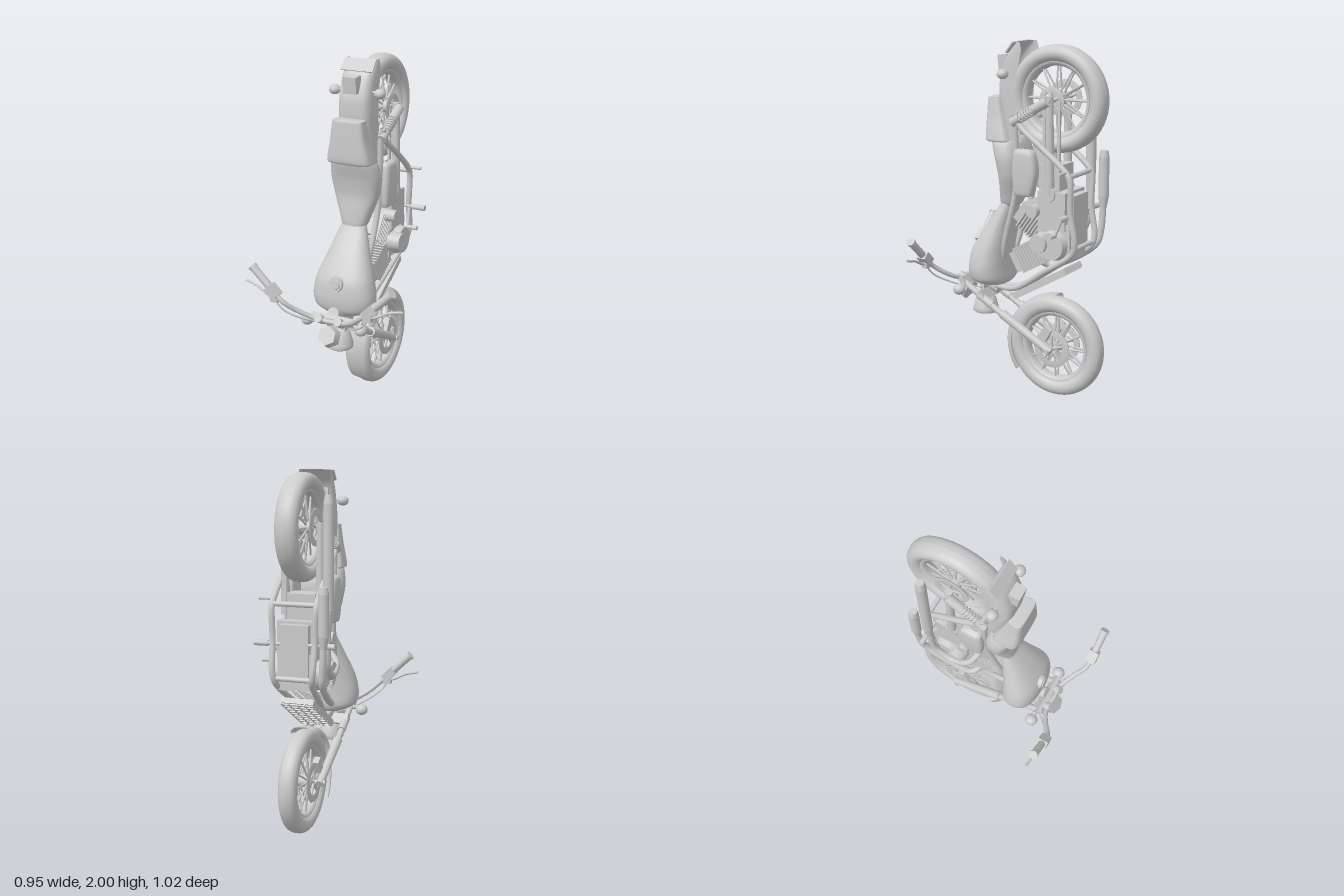
import * as THREE from 'three';

const V = (p) => new THREE.Vector3(...p);
const flip = ([x, y, z]) => [-x, y, z];

export function createModel() {
  const root = new THREE.Group();
  root.name = 'motorcycle';
  const mat = new THREE.MeshStandardMaterial({ color: 0xcccccc, side: THREE.DoubleSide });

  const add = (name, geo, pos = [0, 0, 0], rot = [0, 0, 0], parent = root) => {
    const m = new THREE.Mesh(geo, mat);
    m.name = name;
    m.position.set(...pos);
    m.rotation.set(...rot);
    parent.add(m);
    return m;
  };
  const box = (name, size, pos, tilt = 0, parent = root) =>
    add(name, new THREE.BoxGeometry(...size), pos, [tilt, 0, 0], parent);
  // straight round bar between two points
  const rod = (name, a, b, r, r2 = r, parent = root, sides = 14) => {
    const d = V(b).sub(V(a));
    const m = add(name, new THREE.CylinderGeometry(r2, r, d.length(), sides), [0, 0, 0], [0, 0, 0], parent);
    m.position.copy(V(a).addScaledVector(d, 0.5));
    m.quaternion.setFromUnitVectors(new THREE.Vector3(0, 1, 0), d.normalize());
    return m;
  };
  const tube = (name, pts, r) => add(name,
    new THREE.TubeGeometry(new THREE.CatmullRomCurve3(pts.map(V), false, 'centripetal'), pts.length * 9, r, 10));
  const rods2 = (name, a, b, r, r2) => { rod(name, a, b, r, r2); rod(name, flip(a), flip(b), r, r2); };
  const tubes2 = (name, pts, r) => { tube(name, pts, r); tube(name, pts.map(flip), r); };

  // smooth body through sections [y, halfWidth, zLow, zHigh]; arch = open underneath
  const loft = (name, secs, pow = 2.5, arch = false) => {
    const ca = new THREE.CatmullRomCurve3(secs.map((s) => new THREE.Vector3(s[0], s[1], 0)), false, 'catmullrom', 0.4);
    const cb = new THREE.CatmullRomCurve3(secs.map((s) => new THREE.Vector3(s[2], s[3], 0)), false, 'catmullrom', 0.4);
    const n = 36, rows = (secs.length - 1) * 5, pos = [], idx = [];
    const se = (v) => Math.sign(v) * Math.abs(v) ** (2 / pow);
    for (let j = 0; j <= rows; j++) {
      const a = ca.getPoint(j / rows), b = cb.getPoint(j / rows);
      for (let i = 0; i <= n; i++) {
        const t = (i / n) * Math.PI * (arch ? 1 : 2), s = se(Math.sin(t));
        pos.push(a.y * se(Math.cos(t)), a.x, arch ? b.x + (b.y - b.x) * s : (b.x + b.y) / 2 + ((b.y - b.x) / 2) * s);
        if (j < rows && i < n) {
          const k = j * (n + 1) + i, u = k + n + 1;
          idx.push(k, u, k + 1, k + 1, u, u + 1);
        }
      }
    }
    const g = new THREE.BufferGeometry();
    g.setAttribute('position', new THREE.Float32BufferAttribute(pos, 3));
    g.setIndex(idx);
    g.computeVertexNormals();
    return add(name, g);
  };

  // wheels: axle along x
  const lathe = (pts) => new THREE.LatheGeometry(pts.map((p) => new THREE.Vector2(...p)), 56);
  const AX = [0, 0, Math.PI / 2];
  const wheel = (name, y, half, discs) => {
    const g = new THREE.Group();
    g.name = name;
    g.position.set(0, y, -0.222);
    root.add(g);
    const tyre = [];
    for (let i = 0; i <= 20; i++) {
      const a = (i / 20) * Math.PI * 2, c = Math.cos(a), s = Math.sin(a);
      tyre.push([0.245 + 0.046 * c, half * Math.sign(s) * Math.abs(s) ** 0.8]);
    }
    add('tyre', lathe(tyre), [0, 0, 0], AX, g);
    const h = half * 0.65;
    add('rim', lathe([[0.205, -h], [0.19, -h], [0.18, -h * 0.5], [0.18, h * 0.5], [0.19, h], [0.205, h]]), [0, 0, 0], AX, g);
    add('hub', new THREE.CylinderGeometry(0.035, 0.035, 0.11, 20), [0, 0, 0], AX, g);
    for (let i = 0; i < 12; i++) {
      const a = (i / 12) * Math.PI * 2, c = Math.cos(a), s = Math.sin(a);
      for (const x of [-0.03, 0.03]) rod('spoke', [x, 0.03 * c, 0.03 * s], [x * 0.4, 0.185 * c, 0.185 * s], 0.006, 0.006, g, 6);
    }
    for (const [x, r, r0] of discs) {
      add('disc', lathe([[r0, -0.004], [r, -0.004], [r, 0.004], [r0, 0.004], [r0, -0.004]]), [x, 0, 0], AX, g);
      for (let i = 0; i < 5; i++) {
        const a = (i / 5) * Math.PI * 2;
        rod('discArm', [x, 0, 0], [x, r0 * Math.cos(a), r0 * Math.sin(a)], 0.008, 0.008, g, 6);
      }
    }
    rod('axle', [-0.13, 0, 0], [0.13, 0, 0], 0.014, 0.014, g);
  };
  wheel('frontWheel', 0.292, 0.053, [[0.062, 0.112, 0.075], [-0.062, 0.112, 0.075]]);
  wheel('rearWheel', 1.695, 0.063, [[0.078, 0.075, 0.045], [-0.075, 0.1, 0.065]]);

  // front fender: curved strip wrapped round the wheel
  const fender = new THREE.LatheGeometry(
    [[0.262, -0.074], [0.285, -0.07], [0.3, -0.05], [0.306, 0], [0.3, 0.05], [0.285, 0.07], [0.262, 0.074]].map((p) => new THREE.Vector2(...p)),
    36, Math.PI / 2 - 0.06 - Math.PI / 2, 2.2);
  // lathe sweep starts at +z; aim it from behind the wheel top to the nose
  fender.rotateZ(Math.PI / 2);
  add('frontFender', fender, [0, 0.292, -0.222], [0.57, 0, 0]);

  // bodywork
  loft('tank', [[0.605, 0.01, 0.17, 0.2], [0.613, 0.1, 0.11, 0.265], [0.65, 0.17, 0.09, 0.3], [0.72, 0.184, 0.09, 0.31],
    [0.82, 0.165, 0.085, 0.295], [0.95, 0.12, 0.07, 0.22], [1.07, 0.08, 0.05, 0.14], [1.1, 0.065, 0.05, 0.12], [1.105, 0.005, 0.08, 0.09]], 2.4);
  rod('fuelCap', [0, 0.805, 0.28], [0, 0.81, 0.312], 0.047, 0.04);
  rod('fuelCapTop', [0, 0.81, 0.31], [0, 0.811, 0.318], 0.03, 0.026);
  loft('seat', [[1.08, 0.01, 0.07, 0.08], [1.085, 0.065, 0.03, 0.125], [1.16, 0.095, 0, 0.125], [1.26, 0.13, -0.02, 0.118],
    [1.36, 0.145, -0.02, 0.135], [1.44, 0.13, 0, 0.16], [1.47, 0.1, 0.02, 0.16], [1.475, 0.01, 0.07, 0.08]], 2.7);
  loft('passengerPad', [[1.445, 0.01, 0.08, 0.09], [1.45, 0.122, 0.03, 0.172], [1.48, 0.128, 0.035, 0.188], [1.58, 0.106, 0.07, 0.189],
    [1.68, 0.09, 0.1, 0.186], [1.692, 0.082, 0.11, 0.178], [1.694, 0.005, 0.14, 0.15]], 4.5);
  loft('rearFender', [[1.46, 0.1, -0.05, 0.07], [1.6, 0.1, -0.015, 0.1], [1.7, 0.1, -0.005, 0.12], [1.8, 0.098, -0.012, 0.115],
    [1.9, 0.096, -0.03, 0.08], [1.95, 0.094, -0.04, 0.045], [1.995, 0.09, -0.03, 0.0]], 4, true);
  box('plate', [0.19, 0.075, 0.008], [0, 1.965, 0.035], -0.68);
  box('tailLight', [0.078, 0.09, 0.06], [0, 1.875, 0.11], 0.1);
  for (const s of [1, -1]) {
    // side covers and signals
    const cover = loft('sideCover', [[1.17, 0.004, -0.09, -0.06], [1.18, 0.03, -0.13, -0.02], [1.3, 0.04, -0.16, -0.01],
      [1.41, 0.035, -0.14, -0.02], [1.43, 0.004, -0.09, -0.05]], 3.5);
    cover.position.x = s * 0.12;
    rod('rearSignalStem', [s * 0.09, 1.83, 0.05], [s * 0.135, 1.83, 0.05], 0.008);
    const dome = () => new THREE.SphereGeometry(0.032, 20, 12);
    add('rearSignal', dome(), [s * 0.135, 1.825, 0.05]).scale.set(1, 0.85, 1);
    rod('frontSignalStem', [s * 0.09, 0.6, 0.33], [s * 0.16, 0.59, 0.33], 0.009);
    add('frontSignal', dome(), [s * 0.168, 0.58, 0.33]).scale.set(1.1, 1, 1.15);
  }

  // front fork, clamps and steering head
  rods2('forkTube', [0.1, 0.625, 0.37], [0.1, 0.42, 0.03], 0.018);
  rods2('forkShroud', [0.1, 0.545, 0.24], [0.1, 0.495, 0.15], 0.024);
  rods2('forkLeg', [0.1, 0.455, 0.08], [0.1, 0.285, -0.235], 0.027, 0.022);
  box('upperClamp', [0.25, 0.06, 0.03], [0, 0.61, 0.34], 0.5);
  box('lowerClamp', [0.24, 0.06, 0.03], [0, 0.545, 0.215], 0.5);
  rod('steeringHead', [0, 0.65, 0.34], [0, 0.57, 0.16], 0.035);
  for (const s of [1, -1]) box('brakeCaliper', [0.03, 0.08, 0.05], [s * 0.075, 0.38, -0.19], -0.5);
  const lamp = lathe([[0, 0.06], [0.035, 0.055], [0.06, 0.02], [0.073, -0.03], [0.075, -0.05], [0.066, -0.058], [0.04, -0.066], [0, -0.07]].reverse());
  add('headlight', lamp, [0, 0.475, 0.258]);
  box('headlightBracket', [0.08, 0.09, 0.03], [0, 0.55, 0.26]);
  add('instrument', new THREE.CylinderGeometry(0.055, 0.065, 0.05, 6), [0, 0.535, 0.39], [Math.PI / 2 - 0.5, 0, 0]);
  rods2('barClamp', [0.06, 0.6, 0.34], [0.06, 0.635, 0.4], 0.024);

  // handlebar, grips, levers and cables
  const bar = [[0, 0.62, 0.385], [0.09, 0.625, 0.385], [0.17, 0.665, 0.425], [0.235, 0.72, 0.47], [0.29, 0.77, 0.475], [0.4, 0.88, 0.475]];
  tubes2('handlebar', bar, 0.014);
  rods2('grip', [0.32, 0.8, 0.475], [0.42, 0.897, 0.475], 0.021, 0.022);
  rods2('gripEnd', [0.415, 0.892, 0.475], [0.425, 0.902, 0.475], 0.026);
  for (const s of [1, -1]) {
    add('switchBox', new THREE.BoxGeometry(0.05, 0.075, 0.06), [s * 0.295, 0.775, 0.475], [0, 0, -s * Math.PI / 4]);
    box('leverMount', [0.045, 0.035, 0.035], [s * 0.285, 0.735, 0.475]);
  }
  tubes2('lever', [[0.28, 0.735, 0.475], [0.33, 0.75, 0.475], [0.4, 0.785, 0.467], [0.475, 0.803, 0.46]], 0.007);
  tubes2('cable', [[0.29, 0.73, 0.475], [0.24, 0.67, 0.46], [0.17, 0.62, 0.41], [0.1, 0.585, 0.34], [0.03, 0.57, 0.25]], 0.005);

  // frame cradle
  tubes2('frameRail', [[0.12, 1.62, -0.02], [0.12, 1.56, -0.04], [0.125, 1.45, -0.18], [0.125, 1.335, -0.325], [0.125, 1.29, -0.36],
    [0.12, 1.1, -0.365], [0.115, 0.94, -0.39], [0.105, 0.88, -0.375], [0.08, 0.74, -0.18], [0.04, 0.6, 0.04], [0.02, 0.59, 0.18]], 0.017);
  tubes2('backboneTube', [[0.03, 0.62, 0.15], [0.08, 0.9, 0.07], [0.1, 1.2, -0.01], [0.11, 1.6, -0.01]], 0.017);
  for (const [y, z] of [[1.3, -0.355], [0.9, -0.38], [1.6, -0.02]]) rod('crossTube', [-0.12, y, z], [0.12, y, z], 0.014);
  // radiator and its grille
  const cool = new THREE.Group();
  cool.name = 'radiator';
  cool.position.set(0, 0.675, -0.15);
  cool.rotation.x = Math.atan2(0.2, 0.34);
  root.add(cool);
  box('core', [0.19, 0.03, 0.39], [0, -0.005, 0], 0, cool);
  for (let i = 0; i < 9; i++) box('grilleBar', [0.19, 0.012, 0.006], [0, -0.022, -0.18 + i * 0.045], 0, cool);
  for (let i = 0; i < 5; i++) box('grilleBar', [0.006, 0.012, 0.38], [-0.09 + i * 0.045, -0.022, 0], 0, cool);

  // engine: crankcase, covers and two finned cylinders
  box('crankcase', [0.2, 0.2, 0.2], [0, 0.93, -0.25]);
  box('gearbox', [0.22, 0.21, 0.17], [0, 1.1, -0.24]);
  box('batteryBox', [0.17, 0.15, 0.12], [0, 1.27, -0.21]);
  box('sump', [0.16, 0.28, 0.05], [0, 1.05, -0.34]);
  for (const s of [1, -1]) {
    rod('engineCover', [s * 0.09, 0.91, -0.255], [s * 0.145, 0.91, -0.255], 0.088, 0.075, root, 28);
    rod('clutchCover', [s * 0.09, 0.92, -0.185], [s * 0.165, 0.92, -0.185], 0.058, 0.05, root, 28);
    rod('sprocketCover', [s * 0.09, 1.19, -0.225], [s * 0.12, 1.19, -0.225], 0.045, 0.04, root, 24);
    rod('airIntake', [s * 0.06, 1.09, -0.138], [s * 0.15, 1.09, -0.138], 0.036, 0.034, root, 20);
  }
  for (const [name, tilt, len] of [['rearCylinder', 0.62, 8], ['frontCylinder', -0.52, 9]]) {
    const g = new THREE.Group();
    g.name = name;
    g.position.set(0, 0.91, -0.24);
    g.rotation.x = -tilt;
    root.add(g);
    box('barrel', [0.13, 0.11, 0.27], [0, 0, 0.135], 0, g);
    for (let i = 0; i < len; i++) box('fin', [0.19, 0.15, 0.008], [0, 0, 0.1 + i * 0.019], 0, g);
    box('head', [0.15, 0.12, 0.04], [0, 0, 0.11 + len * 0.019], 0, g);
  }

  // swing arm, chain run and rear shocks with coil springs
  rods2('swingArm', [0.1, 1.19, -0.225], [0.1, 1.72, -0.222], 0.026, 0.02);
  for (const z of [-0.18, -0.27]) box('chain', [0.014, 0.5, 0.016], [0.08, 1.45, z]);
  rods2('shockBody', [0.12, 1.695, -0.222], [0.12, 1.645, -0.135], 0.027);
  rods2('shockRod', [0.12, 1.645, -0.135], [0.12, 1.57, -0.01], 0.014);
  rods2('shockCap', [0.12, 1.595, -0.05], [0.12, 1.565, 0], 0.026);
  const coil = [];
  for (let i = 0; i <= 72; i++) {
    const t = i / 72, a = t * Math.PI * 12, c = 0.023 * Math.cos(a), s = 0.023 * Math.sin(a);
    coil.push([0.12 + c, 1.65 - 0.055 * t + s * 0.85, -0.145 + 0.095 * t + s * 0.5]);
  }
  tubes2('shockSpring', coil, 0.006);

  // exhausts on one side, long upper and short lower
  tube('upperHeader', [[-0.08, 1.02, -0.06], [-0.15, 0.95, -0.1], [-0.165, 0.9, -0.2], [-0.17, 0.96, -0.3], [-0.175, 1.2, -0.325]], 0.019);
  rod('upperMufflerCone', [-0.175, 1.16, -0.325], [-0.18, 1.28, -0.327], 0.019, 0.029);
  rod('upperMuffler', [-0.18, 1.28, -0.327], [-0.182, 1.83, -0.327], 0.029);
  rod('upperMufflerTip', [-0.182, 1.83, -0.327], [-0.182, 1.875, -0.327], 0.029, 0.02);
  tube('lowerHeader', [[-0.07, 0.76, -0.06], [-0.12, 0.72, -0.1], [-0.15, 0.78, -0.25], [-0.165, 0.88, -0.38], [-0.175, 0.96, -0.4], [-0.18, 1.12, -0.408]], 0.019);
  rod('lowerMufflerCone', [-0.18, 1.08, -0.407], [-0.182, 1.15, -0.408], 0.019, 0.029);
  rod('lowerMuffler', [-0.182, 1.15, -0.408], [-0.182, 1.37, -0.408], 0.029);
  rod('lowerMufflerTip', [-0.182, 1.37, -0.408], [-0.182, 1.405, -0.408], 0.029, 0.022);

  // foot controls
  rod('pegBar', [-0.16, 1.085, -0.355], [0.16, 1.085, -0.355], 0.01);
  rods2('footPeg', [0.15, 1.085, -0.355], [0.228, 1.085, -0.355], 0.016);
  rod('shiftPeg', [0.15, 0.98, -0.29], [0.21, 0.98, -0.29], 0.012);
  rod('shiftLever', [0.15, 0.98, -0.29], [0.14, 1.085, -0.33], 0.008);
  rod('brakeLever', [-0.15, 0.95, -0.3], [-0.14, 1.085, -0.34], 0.008);
  rod('passengerPeg', [0.12, 1.325, -0.34], [0.205, 1.325, -0.34], 0.009);
  return root;
}
